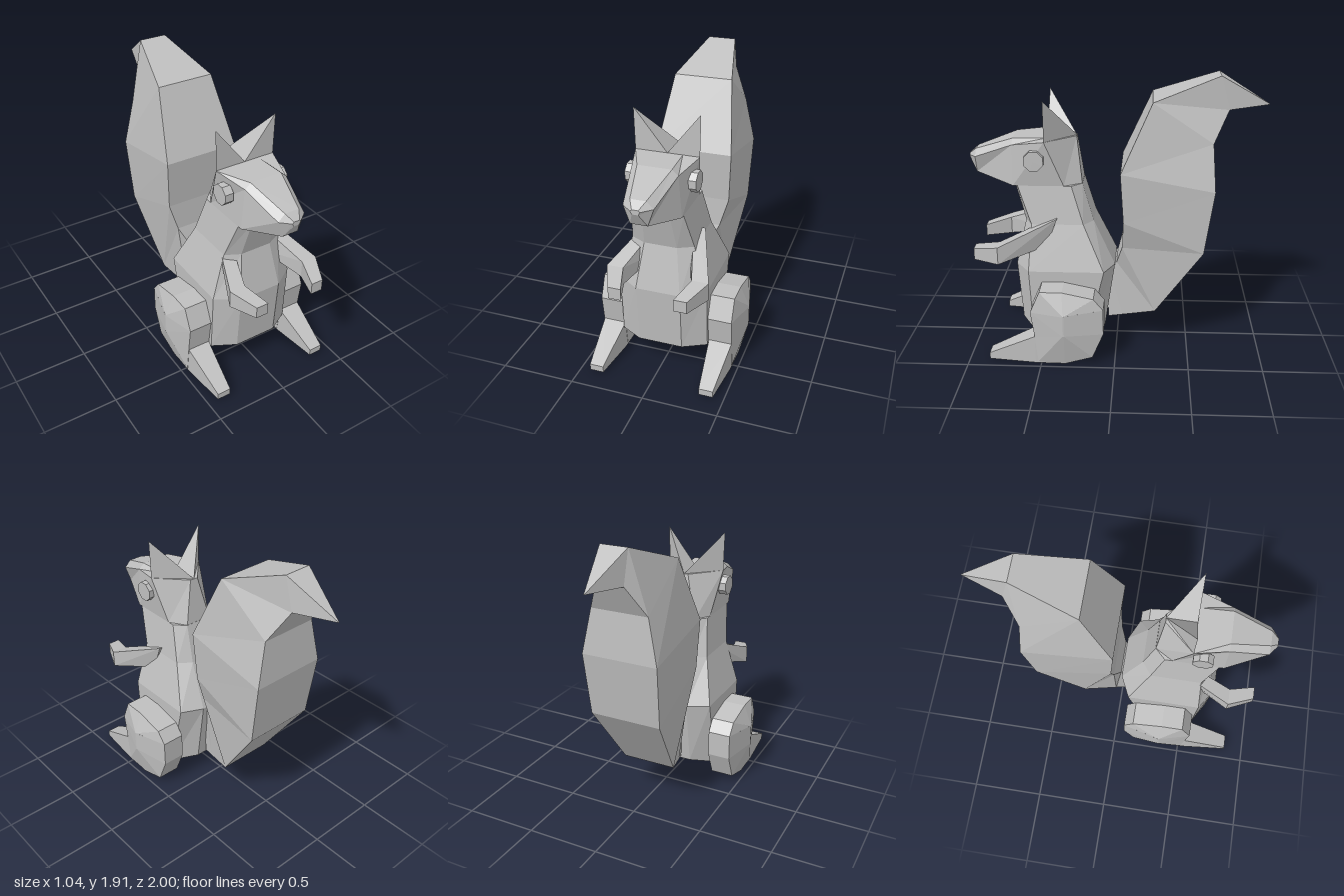
import * as THREE from 'three';

const fur = new THREE.MeshStandardMaterial({ color: 0xbfbfbf, flatShading: true });
fur.name = 'greyFur';

// Closed skin over a row of equal-sized rings of [x, y, z]; faces are turned outward
function loft(name, rings) {
  const n = rings[0].length, tris = [];
  const quad = (a, b, c, d) => tris.push([a, b, c], [a, c, d]);
  for (let i = 0; i < rings.length - 1; i++) {
    for (let j = 0; j < n; j++) {
      const k = (j + 1) % n;
      quad(rings[i][j], rings[i][k], rings[i + 1][k], rings[i + 1][j]);
    }
  }
  const cap = (ring, flip) => {
    const mid = [0, 1, 2].map(a => ring.reduce((s, p) => s + p[a], 0) / n);
    ring.forEach((p, j) => {
      const q = ring[(j + 1) % n];
      tris.push(flip ? [mid, q, p] : [mid, p, q]);
    });
  };
  cap(rings[0], true);
  cap(rings[rings.length - 1], false);
  const v = p => new THREE.Vector3(...p);
  const volume = tris.reduce((s, [a, b, c]) => s + v(a).dot(v(b).cross(v(c))), 0);
  if (volume < 0) tris.forEach(t => t.reverse());
  const geo = new THREE.BufferGeometry();
  geo.setAttribute('position', new THREE.Float32BufferAttribute(tris.flat(2), 3));
  geo.computeVertexNormals();
  const mesh = new THREE.Mesh(geo, fur);
  mesh.name = name;
  return mesh;
}

// Full ring from its +x half
const mirrored = half => [...half, ...half.map(([x, y, z]) => [-x, y, z]).reverse()];

export function createModel() {
  const model = new THREE.Group();
  model.name = 'squirrel';

  // Body: eight-sided rings [y, front x, front z, side x, side front z, side back z, back x, back z]
  const bodyRings = [
    [0.62, 0.15, 0.69, 0.30, 0.59, 0.08, 0.15, 0.01],
    [0.93, 0.11, 0.62, 0.21, 0.57, 0.22, 0.12, 0.155],
    [1.19, 0.09, 0.69, 0.17, 0.66, 0.30, 0.10, 0.23],
  ].map(([y, fx, fz, sx, sf, sb, bx, bz]) =>
    mirrored([[fx, y, fz], [sx, y, sf], [sx, y, sb], [bx, y, bz]]));
  const belly = mirrored([[0.15, 0.20, 0.66], [0.30, 0.19, 0.57], [0.30, 0.11, 0.20], [0.15, 0.15, 0.08]]);
  model.add(loft('body', [belly, ...bodyRings]));

  // Head: from the narrow nape to the nose
  model.add(loft('head', [
    [[0.015, 1.5, 0.27], [0.03, 1.5, 0.27], [0.10, 1.18, 0.23]],
    [[0.10, 1.5, 0.47], [0.21, 1.5, 0.47], [0.17, 1.19, 0.35]],
    [[0.11, 1.5, 0.69], [0.15, 1.465, 0.69], [0.17, 1.19, 0.69]],
    [[0.05, 1.41, 0.95], [0.095, 1.365, 0.95], [0.055, 1.25, 0.95]],
    [[0.02, 1.37, 1.0], [0.03, 1.36, 1.0], [0.02, 1.34, 1.0]],
  ].map(mirrored)));

  // Tail: inner edge [z, y], outer edge [z, y], half width
  model.add(loft('tail', [
    [0.07, 0.60, 0.06, 0.18, 0.09],
    [0.00, 0.62, -0.04, 0.21, 0.12],
    [-0.04, 0.76, -0.27, 0.28, 0.19],
    [-0.05, 0.96, -0.59, 0.75, 0.25],
    [-0.03, 1.305, -0.65, 1.19, 0.265],
    [-0.235, 1.765, -0.63, 1.50, 0.20],
    [-0.67, 1.92, -0.73, 1.70, 0.095],
    [-1.0, 1.722, -1.0, 1.718, 0.003],
  ].map(([iz, iy, oz, oy, w]) => mirrored([[w, iy, iz], [w, oy, oz]]))));

  // Thigh outline [z, y]
  const thigh = [[0.35, 0.545], [0.50, 0.545], [0.565, 0.395], [0.54, 0.21], [0.52, 0.02],
    [0.34, 0.005], [0.15, 0.06], [0.075, 0.24], [0.075, 0.42], [0.14, 0.50]];

  for (const s of [1, -1]) {
    const side = s > 0 ? 'left' : 'right';

    // Ear
    model.add(loft(side + 'Ear', [
      [[0, 1.5, 0.27], [0, 1.5, 0.47], [s * 0.21, 1.5, 0.47]],
      [[s * 0.213, 1.77, 0.468], [s * 0.213, 1.77, 0.47], [s * 0.216, 1.77, 0.47]],
    ]));

    // Eye
    const eye = new THREE.Mesh(new THREE.CylinderGeometry(0.07, 0.07, 0.06, 8), fur);
    eye.name = side + 'Eye';
    eye.rotation.set(0, Math.PI / 8, Math.PI / 2, 'ZYX');
    eye.position.set(s * 0.2, 1.375, 0.54);
    model.add(eye);

    // Arm: shoulder, wrist, hand as [outer x, inner x, top y, top z, bottom y, bottom z]
    model.add(loft(side + 'Arm', [
      [0.19, 0.11, 0.975, 0.395, 0.78, 0.47],
      [0.335, 0.225, 0.82, 0.78, 0.70, 0.78],
      [0.255, 0.17, 0.78, 0.955, 0.70, 0.955],
    ].map(([o, i, ty, tz, by, bz]) =>
      [[o, ty, tz], [o, by, bz], [i, by, bz], [i, ty, tz]].map(([x, y, z]) => [s * x + 0.035, y, z]))));

    // Thigh: flat inside, bulging to a short ridge outside
    model.add(loft(side + 'Thigh', [
      thigh.map(([z, y]) => [s * 0.30, y, z]),
      thigh.map(([z, y]) => [s * 0.46, y, z]),
      thigh.map(([z, y]) => [s * 0.52, Math.min(0.40, Math.max(0.25, y)), 0.34 + 0.02 * (z - 0.34)]),
    ]));

    // Foot: [inner x, outer x, bottom y, top y, z]
    model.add(loft(side + 'Foot', [
      [0.302, 0.458, 0.006, 0.21, 0.40],
      [0.302, 0.458, 0.008, 0.21, 0.54],
      [0.335, 0.43, 0.015, 0.06, 0.86],
    ].map(([i, o, b, t, z]) => [[s * i, b, z], [s * o, b, z], [s * o, t, z], [s * i, t, z]])));
  }
  return model;
}
